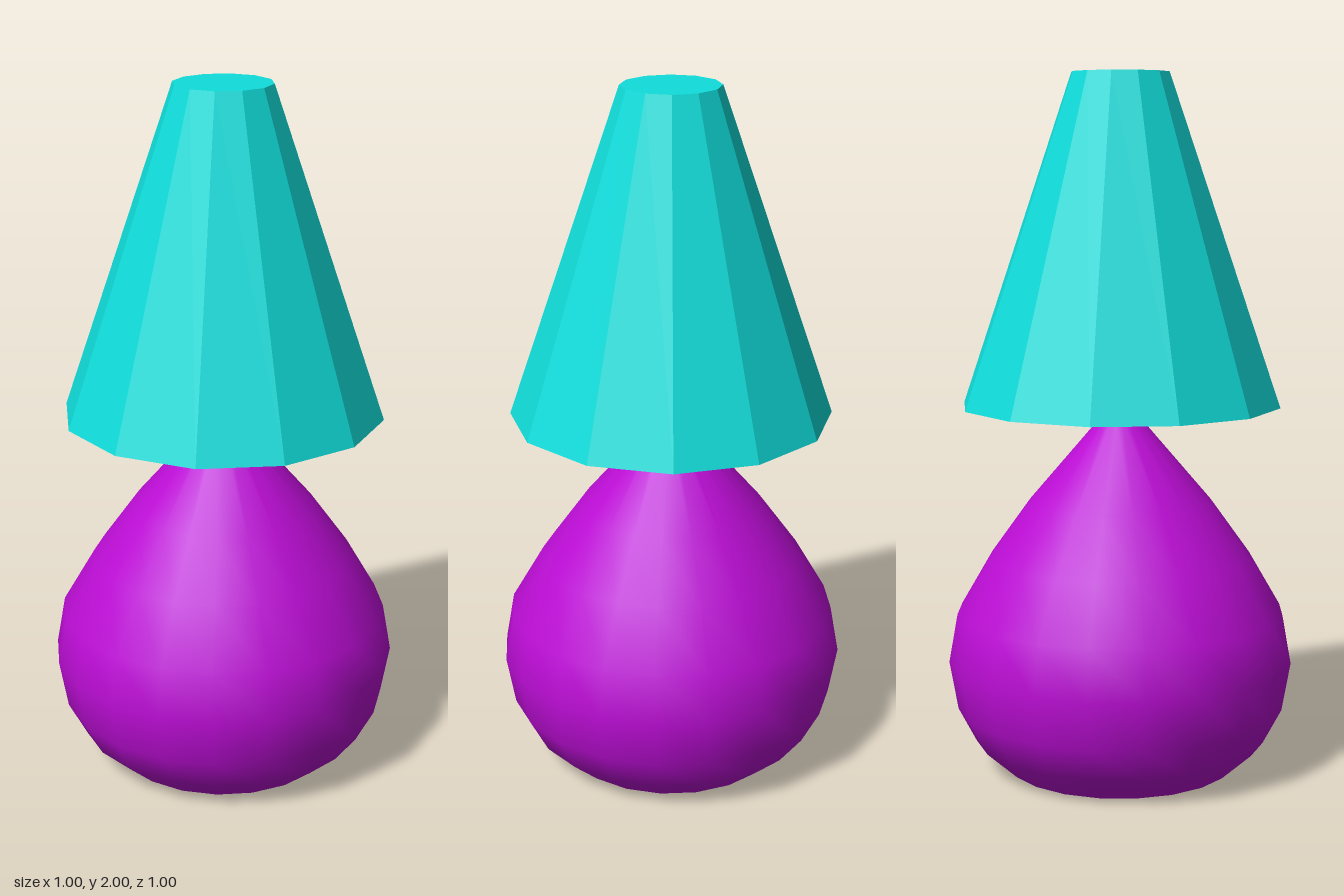
import * as THREE from 'three';

const purple = new THREE.MeshStandardMaterial({ color: 0xbb0dd4 });
purple.name = 'purple glaze';
const teal = new THREE.MeshStandardMaterial({ color: 0x10dedb });
teal.name = 'teal shade';

// Revolve a profile of [radius, height] pairs, listed so that faces point outward
function revolve(name, profile, sides, material, faceted = false) {
  let geometry = new THREE.LatheGeometry(profile.map(([r, y]) => new THREE.Vector2(r, y)), sides);
  if (faceted) {
    geometry = geometry.toNonIndexed();
    geometry.computeVertexNormals();
  }
  const mesh = new THREE.Mesh(geometry, material);
  mesh.name = name;
  return mesh;
}

export function createModel() {
  const lamp = new THREE.Group();
  lamp.name = 'tableLamp';

  // Smooth pear-shaped base with a flat underside
  lamp.add(revolve('base', [
    [0.33, 0], [0.42, 0.08], [0.473, 0.18], [0.498, 0.32],
    [0.473, 0.46], [0.38, 0.62], [0.265, 0.78], [0.06, 1.02],
  ], 20, purple));
  lamp.add(revolve('baseUnderside', [[0, 0], [0.33, 0]], 20, purple));

  // Slim neck reaching up inside the shade
  lamp.add(revolve('neck', [[0.06, 1.02], [0.06, 1.97]], 20, purple));

  // Twelve-sided hollow shade: inner ceiling, inner wall, rim, outer wall, top
  lamp.add(revolve('shade', [
    [0, 1.96], [0.12, 1.96], [0.43, 1.06], [0.46, 1.06], [0.14, 2], [0, 2],
  ], 12, teal, true));

  return lamp;
}
